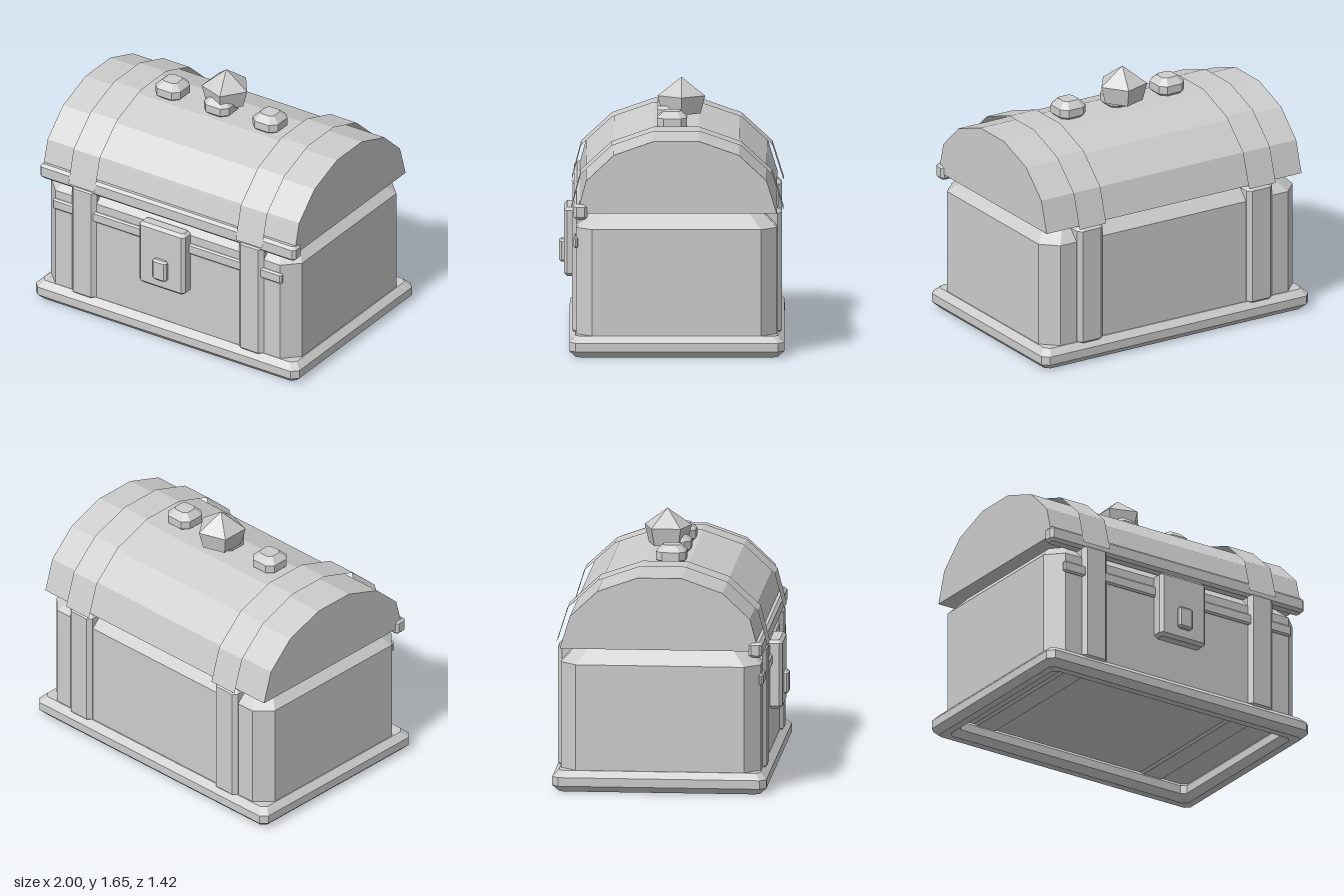
import * as THREE from 'three';

// Eight-cornered plan outline at height y: a rectangle with its corners cut
function ring(y, [x0, x1], [z0, z1], inset, cut) {
  x0 += inset; x1 -= inset; z0 += inset; z1 -= inset;
  return [
    [x1, z0 + cut], [x1, z1 - cut], [x1 - cut, z1], [x0 + cut, z1],
    [x0, z1 - cut], [x0, z0 + cut], [x0 + cut, z0], [x1 - cut, z0],
  ].map(([x, z]) => [x, y, z]);
}

// Faceted skin over a stack of outlines, either capped or looped into a frame
function loft(rings, looped = false) {
  const pos = [];
  const tri = (a, b, c) => pos.push(...a, ...b, ...c);
  const n = rings[0].length;
  const last = looped ? rings.length : rings.length - 1;
  for (let k = 0; k < last; k++) {
    const r = rings[k], s = rings[(k + 1) % rings.length];
    for (let i = 0; i < n; i++) {
      const j = (i + 1) % n;
      tri(r[i], s[i], s[j]);
      tri(r[i], s[j], r[j]);
    }
  }
  if (!looped) {
    const bottom = rings[0], top = rings[rings.length - 1];
    for (let i = 1; i < n - 1; i++) {
      tri(bottom[0], bottom[i], bottom[i + 1]);
      tri(top[0], top[i + 1], top[i]);
    }
  }
  const g = new THREE.BufferGeometry();
  g.setAttribute('position', new THREE.Float32BufferAttribute(pos, 3));
  g.computeVertexNormals();
  return g;
}

// Box with every edge bevelled by b
function block(xs, [y0, y1], zs, b) {
  return loft([
    ring(y0, xs, zs, b, b * 0.6), ring(y0 + b, xs, zs, 0, b),
    ring(y1 - b, xs, zs, 0, b), ring(y1, xs, zs, b, b * 0.6),
  ]);
}

function flat(geometry) {
  const g = geometry.toNonIndexed();
  g.computeVertexNormals();
  return g;
}

export function createModel() {
  const group = new THREE.Group();
  const grey = new THREE.MeshStandardMaterial({ color: 0xcccccc, side: THREE.DoubleSide });
  grey.name = 'plain grey';
  const add = (name, geometry) => {
    const mesh = new THREE.Mesh(geometry, grey);
    mesh.name = name;
    group.add(mesh);
    return mesh;
  };

  // Base frame, open in the middle
  const bx = [-1, 1], bz = [-0.71, 0.645];
  add('baseFrame', loft([
    ring(0, bx, bz, 0.04, 0.03), ring(0.04, bx, bz, 0, 0.04),
    ring(0.095, bx, bz, 0, 0.04), ring(0.135, bx, bz, 0.04, 0.03),
    ring(0.135, bx, bz, 0.09, 0.03), ring(0.095, bx, bz, 0.13, 0.03),
    ring(0.04, bx, bz, 0.13, 0.03), ring(0, bx, bz, 0.09, 0.03),
  ], true));

  // Chest body with large chamfers
  const cx = [-0.953, 0.953], cz = [-0.663, 0.602];
  add('body', loft([
    ring(0.125, cx, cz, 0, 0.1), ring(0.812, cx, cz, 0, 0.1),
    ring(0.912, cx, cz, 0.1, 0.08),
  ]));

  // Barrel lid: profile as [z, y], front to back
  const arch = [
    [0.595, 0.915], [0.54, 1.12], [0.365, 1.285], [0.11, 1.375],
    [-0.17, 1.375], [-0.425, 1.285], [-0.6, 1.12], [-0.663, 0.915],
  ];
  const lidShape = new THREE.Shape(arch.map(([z, y]) => new THREE.Vector2(-z, y)));
  const lid = new THREE.ExtrudeGeometry(lidShape, { depth: 1.91, bevelEnabled: false });
  lid.translate(0, 0, -0.955).rotateY(Math.PI / 2);
  add('lid', lid);

  // Thin straps standing proud of the lid, and posts around the body
  const strapArch = [
    [0.632, 0.91], [0.573, 1.135], [0.378, 1.315], [0.113, 1.407],
    [-0.173, 1.407], [-0.438, 1.315], [-0.633, 1.135], [-0.704, 0.91],
  ];
  for (const side of [-1, 1]) {
    const strap = new THREE.PlaneGeometry(0.2, 1, 1, strapArch.length - 1);
    const p = strap.attributes.position;
    for (let i = 0; i < p.count; i++) {
      // Rows run back to front so that the outside faces out
      const [z, y] = strapArch[strapArch.length - 1 - Math.floor(i / 2)];
      p.setXYZ(i, p.getX(i) + side * 0.635, y, z);
    }
    add('lidStrap', flat(strap));
    const post = [side * 0.635 - 0.095, side * 0.635 + 0.095];
    add('bodyStrap', block(post, [0.11, 0.912], [-0.694, 0.627], 0.027));
  }

  // Front rails
  add('lidRail', block([-0.97, 0.97], [0.873, 0.974], [0.53, 0.617], 0.018));
  add('bodyRail', block([-0.87, 0.87], [0.68, 0.755], [0.585, 0.617], 0.011));

  // Lock
  add('lockPlate', block([-0.175, 0.172], [0.4, 0.84], [0.58, 0.68], 0.02));
  add('lockBoss', block([-0.052, 0.052], [0.475, 0.62], [0.65, 0.71], 0.013));

  // Faceted studs along the lid ridge
  for (const x of [-0.37, 0, 0.37]) {
    const xs = [x - 0.095, x + 0.095], zs = [-0.097, 0.092];
    add('stud', loft([
      ring(1.37, xs, zs, 0.028, 0.035), ring(1.395, xs, zs, 0, 0.04),
      ring(1.447, xs, zs, 0, 0.04), ring(1.488, xs, zs, 0.042, 0.02),
    ]));
  }

  // Five-sided crystal on top
  const start = Math.PI / 2;
  add('crystalTop', flat(new THREE.ConeGeometry(0.157, 0.114, 5, 1, true, start)))
    .position.set(0, 1.591, -0.06);
  add('crystalBottom', flat(new THREE.CylinderGeometry(0.157, 0.128, 0.114, 5, 1, false, start)))
    .position.set(0, 1.477, -0.06);

  return group;
}
